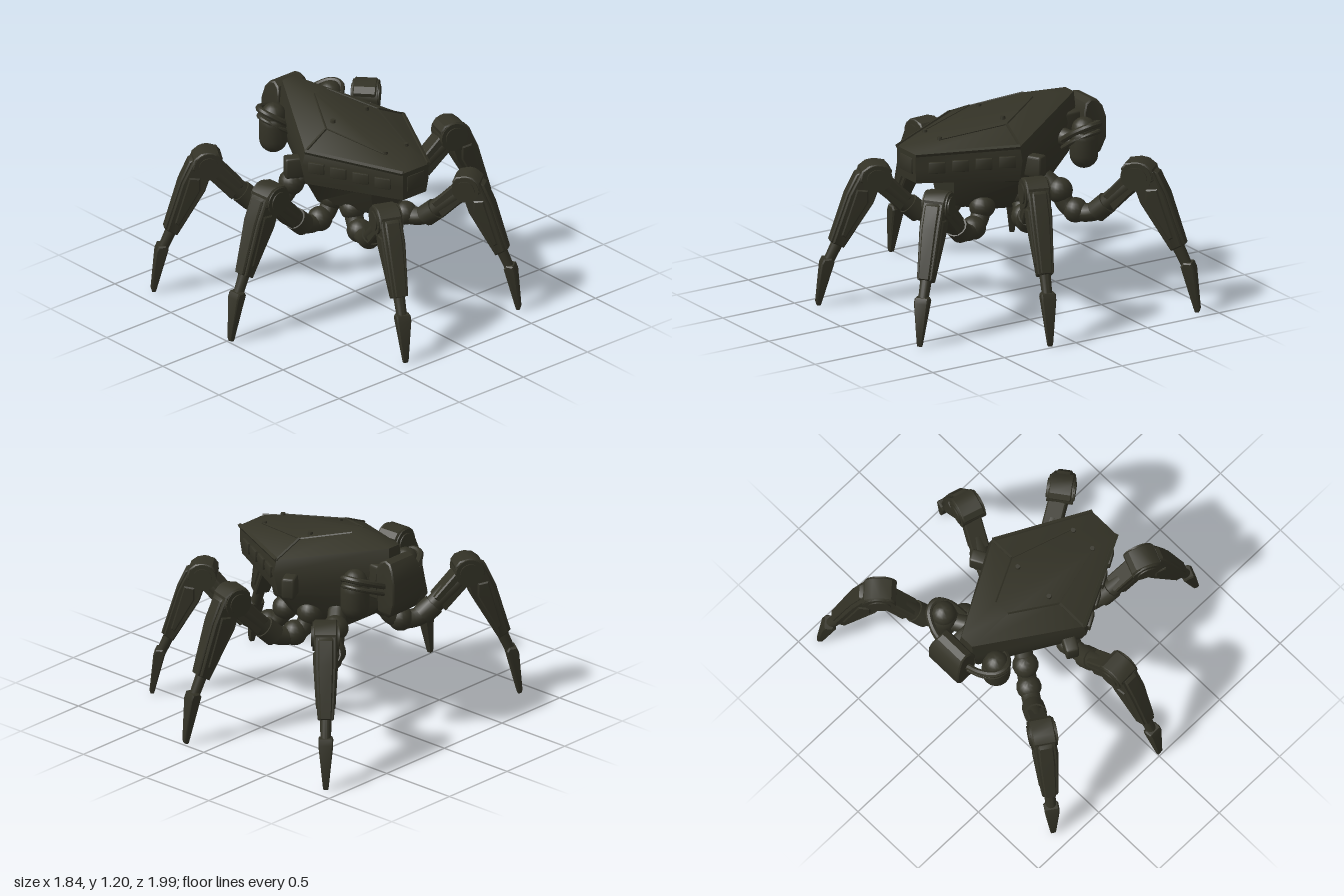
import * as THREE from 'three';
import { toCreasedNormals } from 'three/addons/utils/BufferGeometryUtils.js';
import { RoundedBoxGeometry } from 'three/addons/geometries/RoundedBoxGeometry.js';

const armour = new THREE.MeshStandardMaterial({ color: 0x333226 });
armour.name = 'dark olive armour';

const V = (x, y, z = 0) => new THREE.Vector3(x, y, z);

function add(parent, name, geo, pos = V(0, 0, 0)) {
  const mesh = new THREE.Mesh(toCreasedNormals(geo, 0.6), armour);
  mesh.name = name;
  mesh.position.copy(pos);
  parent.add(mesh);
  return mesh;
}

// Geometry whose y axis runs from a to b
function between(parent, name, a, b, makeGeo) {
  const d = b.clone().sub(a);
  const mesh = add(parent, name, makeGeo(d.length()), a.clone().lerp(b, 0.5));
  mesh.quaternion.setFromUnitVectors(V(0, 1, 0), d.normalize());
  return mesh;
}
const rod = (parent, name, a, b, r0, r1 = r0, sides = 14) =>
  between(parent, name, a, b, len => new THREE.CylinderGeometry(r1, r0, len, sides));
const beam = (parent, name, a, b, w) =>
  between(parent, name, a, b, len => new THREE.BoxGeometry(w, len, w));

// Bevelled side profile, centred on z; taper(y) scales the width
function plate(parent, name, points, width, taper = () => 1) {
  const bevel = 0.008;
  const shape = new THREE.Shape(points.map(p => new THREE.Vector2(...p)));
  const geo = new THREE.ExtrudeGeometry(shape, {
    depth: width - 2 * bevel, bevelSize: bevel, bevelOffset: -bevel, bevelThickness: bevel, bevelSegments: 1,
  });
  geo.translate(0, 0, bevel - width / 2);
  const p = geo.attributes.position;
  for (let i = 0; i < p.count; i++) p.setZ(i, p.getZ(i) * taper(p.getY(i)));
  geo.computeVertexNormals();
  return add(parent, name, geo);
}

// Body rings from keel to roof: nose, shoulder and tail corner of one side
const rings = [
  [[0.06, 0.585, 0.1], [-0.12, 0.58, 0.15], [-0.28, 0.6, 0.07]],
  [[0.27, 0.65, 0.1], [-0.05, 0.66, 0.25], [-0.44, 0.7, 0.06]],
  [[0.29, 0.83, 0.13], [-0.04, 0.8, 0.335], [-0.56, 0.82, 0.055]],
  [[0.53, 0.83, 0.09], [-0.015, 0.825, 0.37], [-0.58, 0.87, 0.055]],
  [[0.54, 0.92, 0.1], [-0.01, 0.96, 0.405], [-0.61, 1.03, 0.06]],
  [[0.54, 1.01, 0.1], [-0.01, 1.04, 0.38], [-0.6, 1.18, 0.045]],
  [[0.37, 1.07, 0.09], [-0.03, 1.125, 0.2], [-0.31, 1.2, 0.05]],
];

function hullGeometry() {
  const n = 6, pos = [], index = [];
  for (const half of rings) {
    pos.push(...half.flat());
    pos.push(...half.slice().reverse().flatMap(([x, y, z]) => [x, y, -z]));
  }
  for (let r = 0; r < rings.length - 1; r++)
    for (let i = 0; i < n; i++) {
      const a = r * n + i, b = r * n + (i + 1) % n;
      index.push(b, a, a + n, b, a + n, b + n);
    }
  const top = (rings.length - 1) * n;
  for (let i = 1; i < n - 1; i++) index.push(0, i, i + 1, top, top + i + 1, top + i);
  const geo = new THREE.BufferGeometry();
  geo.setAttribute('position', new THREE.Float32BufferAttribute(pos, 3));
  geo.setIndex(index);
  geo.computeVertexNormals();
  return geo;
}

function makeBody() {
  const body = new THREE.Group();
  body.name = 'body';
  add(body, 'hull', hullGeometry());
  for (const s of [1, -1]) {
    const at = (r, i) => V(rings[r][i][0], rings[r][i][1], s * rings[r][i][2]);
    // Armour seams
    beam(body, 'shoulderSeam', at(5, 1), at(6, 1), 0.014);
    beam(body, 'roofSeam', at(6, 0), at(6, 1), 0.008);
    beam(body, 'roofSeam', at(6, 1), at(6, 2), 0.008);
    beam(body, 'rimSeam', at(5, 0), at(5, 1), 0.02);
    // Slit frames along the front flanks
    for (let i = 0; i < 4; i++) {
      const p = at(4, 1).lerp(at(4, 0), 0.14 + i * 0.22);
      const frame = add(body, 'slitFrame', new RoundedBoxGeometry(0.1, 0.07, 0.02, 1, 0.006), p);
      frame.rotation.y = s * 0.51;
    }
    // Shoulder pods and roof bolts
    const pod = add(body, 'sidePod', new RoundedBoxGeometry(0.08, 0.13, 0.12, 2, 0.015), V(-0.115, 0.905, s * 0.375));
    pod.rotation.y = -s * 0.5;
    for (const [x, y, z] of [[-0.05, 1.14, 0.13], [0.36, 1.07, 0.08]])
      add(body, 'roofBolt', new THREE.CylinderGeometry(0.014, 0.018, 0.03, 10), V(x, y, s * z));
  }
  add(body, 'noseBlock', new RoundedBoxGeometry(0.02, 0.1, 0.13, 1, 0.006), V(0.535, 0.93, 0));
  return body;
}

// Tail unit with a round-topped housing and two side tanks
function makeTail() {
  const tail = new THREE.Group();
  tail.name = 'tailUnit';
  const zc = -0.045;
  const housing = plate(tail, 'tailHousing', [
    [-0.61, 0.82], [-0.6, 1.0], [-0.6, 1.08], [-0.62, 1.13], [-0.66, 1.15], [-0.7, 1.14],
    [-0.73, 1.1], [-0.75, 1.03], [-0.75, 0.9], [-0.72, 0.82], [-0.68, 0.79]], 0.25,
  y => 1 - 14 * Math.max(0, Math.abs(y - 0.97) - 0.06) ** 2);
  housing.position.z = zc;
  add(tail, 'tailNeck', new RoundedBoxGeometry(0.14, 0.22, 0.14, 2, 0.02), V(-0.56, 0.97, zc));
  for (const s of [1, -1]) {
    const c = V(-0.53, 0.92, zc + s * 0.22);
    add(tail, 'tank', new THREE.CapsuleGeometry(0.085, 0.1, 6, 16), c);
    // Hoses wrap around the cap of each tank
    for (const [dy, r] of [[0, 0.02], [-0.05, 0.014]]) {
      const hose = new THREE.CatmullRomCurve3([
        V(-0.66, 0.99 + dy, zc + s * 0.1), V(-0.64, 1.03 + dy, zc + s * 0.2),
        V(-0.59, 1.06 + dy, zc + s * 0.28), V(-0.52, 1.06 + dy, zc + s * 0.295),
        V(-0.46, 1.02 + dy, zc + s * 0.24), V(-0.43, 0.95 + dy, zc + s * 0.14)]);
      add(tail, 'hose', new THREE.TubeGeometry(hose, 24, r, 8));
    }
    add(tail, 'tankCap', new THREE.SphereGeometry(0.075, 16, 10), V(c.x, 1.02, c.z));
    rod(tail, 'tankMount', V(-0.46, 0.95, zc + s * 0.08), c, 0.055);
  }
  return tail;
}

// Thigh and hip in their own plane: the knee sits at x = 0, the hull lies at -x
function makeThigh() {
  const upper = new THREE.Group();
  upper.name = 'upperLeg';
  const hip = new THREE.CatmullRomCurve3([
    V(-0.19, 0.635), V(-0.27, 0.57), V(-0.36, 0.55), V(-0.45, 0.58), V(-0.51, 0.67), V(-0.6, 0.74)]);
  add(upper, 'hip', new THREE.TubeGeometry(hip, 24, 0.056, 12));
  add(upper, 'hipBall', new THREE.SphereGeometry(0.075, 16, 12), V(-0.4, 0.56));
  add(upper, 'hullBall', new THREE.SphereGeometry(0.078, 16, 12), V(-0.5, 0.67));
  rod(upper, 'hipCollar', V(-0.27, 0.565), V(-0.2, 0.63), 0.068);
  rod(upper, 'thigh', V(-0.24, 0.59), V(0, 0.82), 0.058, 0.06);
  plate(upper, 'thighArmour', [[-0.21, 0.69], [-0.08, 0.835], [0.02, 0.83], [0, 0.75], [-0.14, 0.6]], 0.11);
  return upper;
}

// Knee, shank and foot in their own plane: +x points outward
function makeShin() {
  const lower = new THREE.Group();
  lower.name = 'lowerLeg';
  plate(lower, 'kneeBracket', [[-0.075, 0.82], [-0.085, 0.88], [-0.06, 0.913], [0, 0.925], [0.045, 0.918],
    [0.085, 0.885], [0.1, 0.82], [0.03, 0.76], [-0.05, 0.77]], 0.14);
  for (const [r, w] of [[0.085, 0.155], [0.06, 0.17]]) {
    const hub = add(lower, 'kneeHub', new THREE.CylinderGeometry(r, r, w, 20), V(0, 0.835));
    hub.rotation.x = Math.PI / 2;
  }

  // Shank with an outer guard and side panels
  const narrow = y => 0.75 + 0.25 * THREE.MathUtils.smoothstep(y, 0.4, 0.72);
  plate(lower, 'shank', [[0.02, 0.86], [0.09, 0.87], [0.155, 0.73], [0.245, 0.42],
    [0.185, 0.385], [0.02, 0.67], [-0.01, 0.76]], 0.13, narrow);
  plate(lower, 'shankGuard', [[0.09, 0.87], [0.112, 0.86], [0.17, 0.73], [0.26, 0.43],
    [0.235, 0.41], [0.14, 0.73]], 0.09, narrow);
  plate(lower, 'shankPanel', [[0.05, 0.76], [0.115, 0.77], [0.2, 0.47], [0.175, 0.45], [0.05, 0.68]], 0.148, narrow);

  // Ankle and tapered spike foot
  rod(lower, 'ankle', V(0.195, 0.45), V(0.272, 0.27), 0.036, 0.03);
  plate(lower, 'foot', [[0.235, 0.29], [0.25, 0.315], [0.295, 0.315], [0.31, 0.28],
    [0.336, 0.03], [0.33, 0.008], [0.31, 0.005], [0.302, 0.03]], 0.088,
  y => THREE.MathUtils.lerp(0.33, 1, Math.min(1, y / 0.28)));
  return lower;
}

function makeLeg(name, hip, knee, foot, height) {
  const leg = new THREE.Group();
  leg.name = name;
  leg.position.set(knee[0], 0, knee[1]);
  leg.scale.y = height;
  const yaw = (a, b) => Math.atan2(a[1] - b[1], b[0] - a[0]);
  const upper = makeThigh(), lower = makeShin();
  upper.rotation.y = yaw(hip, knee);
  lower.rotation.y = yaw(knee, foot);
  lower.scale.x = Math.hypot(foot[0] - knee[0], foot[1] - knee[1]) / 0.32;
  leg.add(upper, lower);
  return leg;
}

export function createModel() {
  const model = new THREE.Group();
  model.name = 'walker';
  model.add(makeBody(), makeTail());
  // Name, then hip, knee and foot as (x, z), and relative height
  const legs = [
    ['rearLeftLeg', [-0.35, 0.25], [-0.6, 0.63], [-0.775, 0.895], 1],
    ['middleLeftLeg', [-0.02, 0.2], [-0.005, 0.66], [0.015, 0.98], 1],
    ['frontLeftLeg', [0.2, 0.145], [0.585, 0.27], [0.9, 0.395], 0.945],
    ['frontRightLeg', [0.2, -0.205], [0.565, -0.385], [0.81, -0.565], 0.945],
    ['middleRightLeg', [-0.12, -0.22], [0.075, -0.67], [0.165, -0.975], 1.025],
    ['rearRightLeg', [-0.34, -0.22], [-0.66, -0.66], [-0.9, -0.92], 1],
  ];
  for (const leg of legs) model.add(makeLeg(...leg));
  return model;
}
